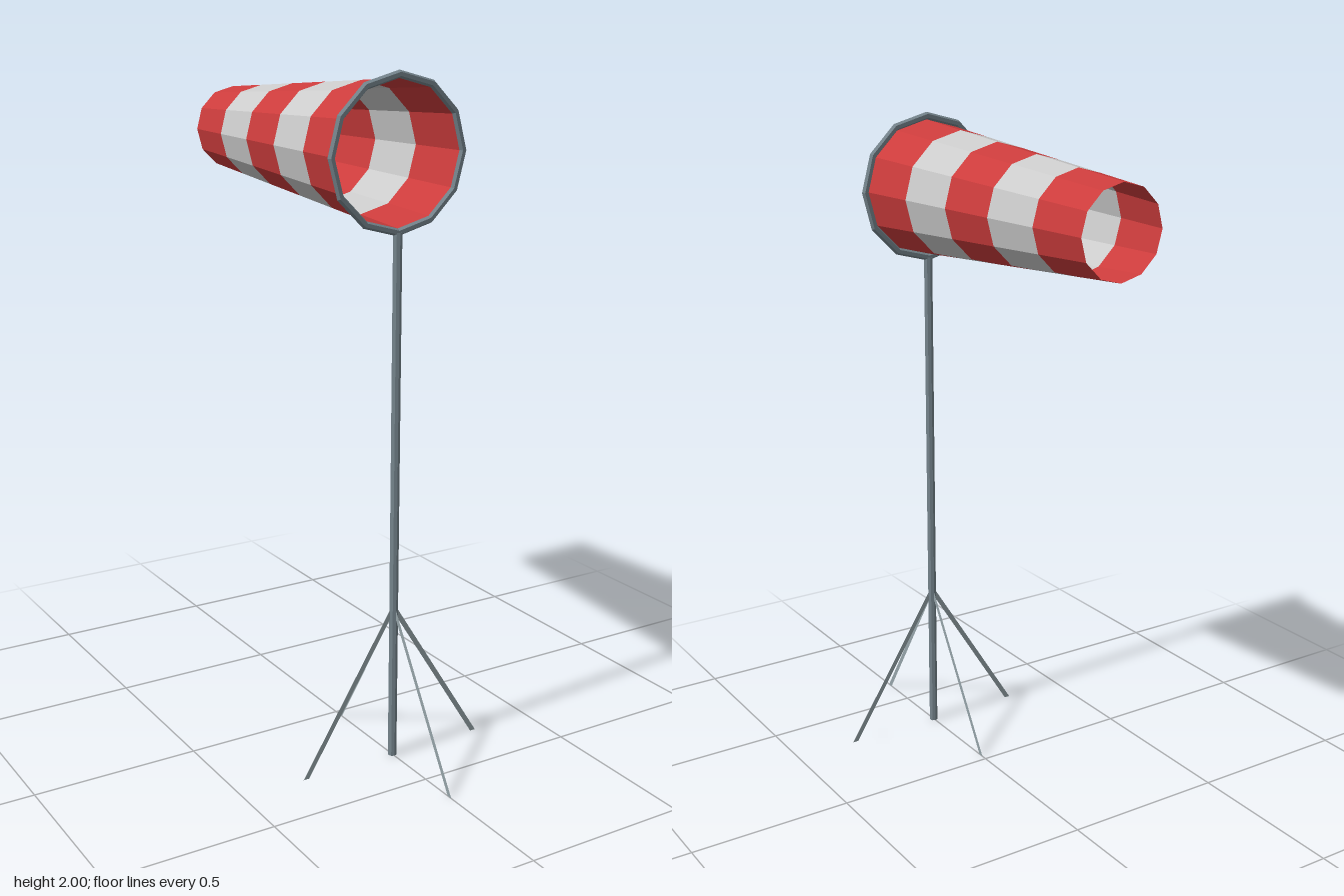
import * as THREE from 'three';

const MAST_Z = 0.323;   // mast and ring sit at the front
const HUB_Y = 1.778;    // centre line of the sock
const SIDES = 12;

const paint = (color, side = THREE.FrontSide) =>
  new THREE.MeshStandardMaterial({ color, side, flatShading: true });

export function createModel() {
  const group = new THREE.Group();
  const metal = paint(0x75848c);
  const metalSheet = paint(0x94a3a8, THREE.DoubleSide);
  const red = paint(0xcc3c3c, THREE.DoubleSide);
  const white = paint(0xcccccc, THREE.DoubleSide);

  const add = (name, geometry, material, x, y, z) => {
    const mesh = new THREE.Mesh(geometry, material);
    mesh.name = name;
    mesh.position.set(x, y, z);
    group.add(mesh);
    return mesh;
  };

  // Mast
  const mastHeight = 1.567;
  add('mast', new THREE.CylinderGeometry(0.013, 0.013, mastHeight, 8), metal, 0, mastHeight / 2, MAST_Z);

  // Hoop holding the mouth of the sock open
  add('hoop', new THREE.TorusGeometry(0.211, 0.011, 6, SIDES), metal, 0, HUB_Y, MAST_Z);

  // Tapered sock in five open striped bands
  const bands = 5, length = 0.958, mouth = 0.2, tail = 0.128;
  const step = length / bands;
  const radius = (i) => mouth + (tail - mouth) * i / bands;
  for (let i = 0; i < bands; i++) {
    const band = new THREE.CylinderGeometry(radius(i), radius(i + 1), step, SIDES, 1, true);
    band.rotateX(Math.PI / 2);
    add(`sockBand${i + 1}`, band, i % 2 ? white : red, 0, HUB_Y, MAST_Z - step * (i + 0.5));
  }

  // Four flat stays spreading from the mast to the ground
  const reach = 0.305, top = 0.485, width = 0.018;
  const stay = new THREE.Shape([
    new THREE.Vector2(0, top),
    new THREE.Vector2(0, top - width * top / reach),
    new THREE.Vector2(reach - width, 0),
    new THREE.Vector2(reach, 0),
  ]);
  const stayGeometry = new THREE.ShapeGeometry(stay);
  for (let i = 0; i < 4; i++) {
    add(`stay${i + 1}`, stayGeometry, metalSheet, 0, 0, MAST_Z).rotation.y = i * Math.PI / 2;
  }
  return group;
}
